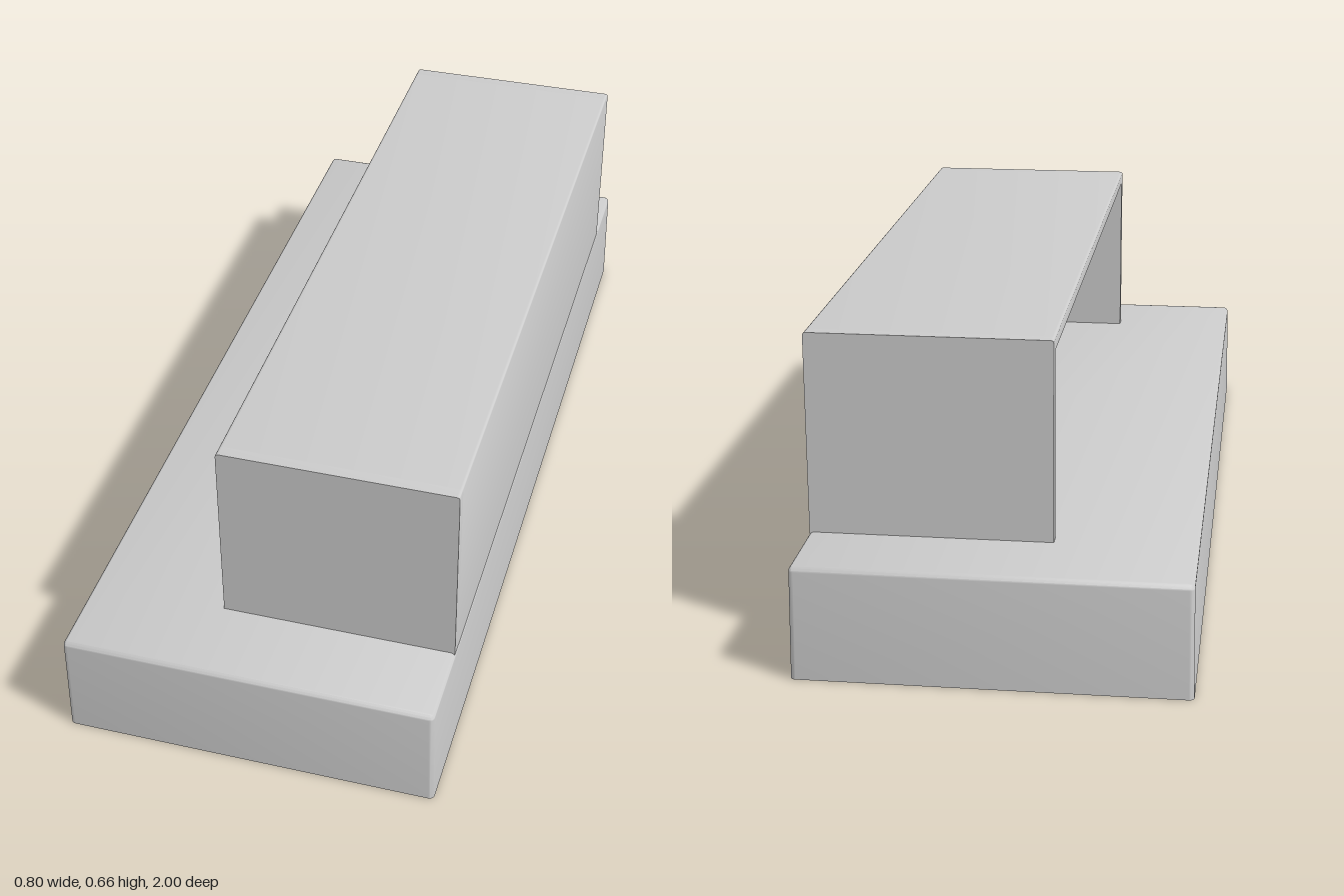
import * as THREE from 'three';
import { RoundedBoxGeometry } from 'three/addons/geometries/RoundedBoxGeometry.js';
import { toCreasedNormals } from 'three/addons/utils/BufferGeometryUtils.js';

const BASE_TOP = 0.24, TOP = 0.662;
const X0 = -0.105, X1 = 0.395, Z1 = 0.815; // hood extents
const PANEL = 0.026, BACK = 0.065, R = 0.007;

const material = new THREE.MeshStandardMaterial({ color: 0xcccccc });

function addMesh(group, name, geometry) {
  const mesh = new THREE.Mesh(geometry, material);
  mesh.name = name;
  group.add(mesh);
  return mesh;
}

// Plinth: softened top and upright edges, flat bottom, slight taper upwards
function baseGeometry() {
  const box = new RoundedBoxGeometry(0.8, BASE_TOP, 2, 3, 0.011);
  const p = box.attributes.position;
  for (let i = 0; i < p.count; i++) {
    const y = p.getY(i) < 0 ? 0 : p.getY(i) + BASE_TOP / 2;
    p.setXYZ(i, p.getX(i) * (1 - 0.04 * y), y, p.getZ(i));
  }
  return toCreasedNormals(box, 0.7);
}

// Extrudes an x-y outline along z, centred on z = 0
function extrudeZ(shape, depth) {
  const g = new THREE.ExtrudeGeometry(shape, { depth, bevelEnabled: false, curveSegments: 4 });
  g.translate(0, 0, -depth / 2);
  return toCreasedNormals(g, 0.7);
}

// Starts an outline at the foot of the back and carries it over both rounded top corners
function hoodOutline() {
  const s = new THREE.Shape();
  s.moveTo(X1, BASE_TOP - 0.004);
  s.lineTo(X1, TOP - R);
  s.quadraticCurveTo(X1, TOP, X1 - R, TOP);
  s.lineTo(X0 + R, TOP);
  s.quadraticCurveTo(X0, TOP, X0, TOP - R);
  return s;
}

export function createModel() {
  const model = new THREE.Group();
  addMesh(model, 'base', baseGeometry());

  const hood = new THREE.Group();
  hood.name = 'hood';
  model.add(hood);

  // Lid and back wall as one L-shaped section, open towards -x
  const shell = hoodOutline();
  shell.lineTo(X0, TOP - PANEL);
  shell.lineTo(X1 - BACK, TOP - PANEL);
  shell.lineTo(X1 - BACK, BASE_TOP - 0.004);
  addMesh(hood, 'lidAndBack', extrudeZ(shell, 2 * (Z1 - PANEL)));

  // End panels
  const end = hoodOutline();
  end.lineTo(X0, BASE_TOP - 0.004);
  for (const side of [-1, 1]) {
    const panel = addMesh(hood, side > 0 ? 'frontPanel' : 'rearPanel', extrudeZ(end, PANEL));
    panel.position.z = side * (Z1 - PANEL / 2);
  }
  return model;
}
